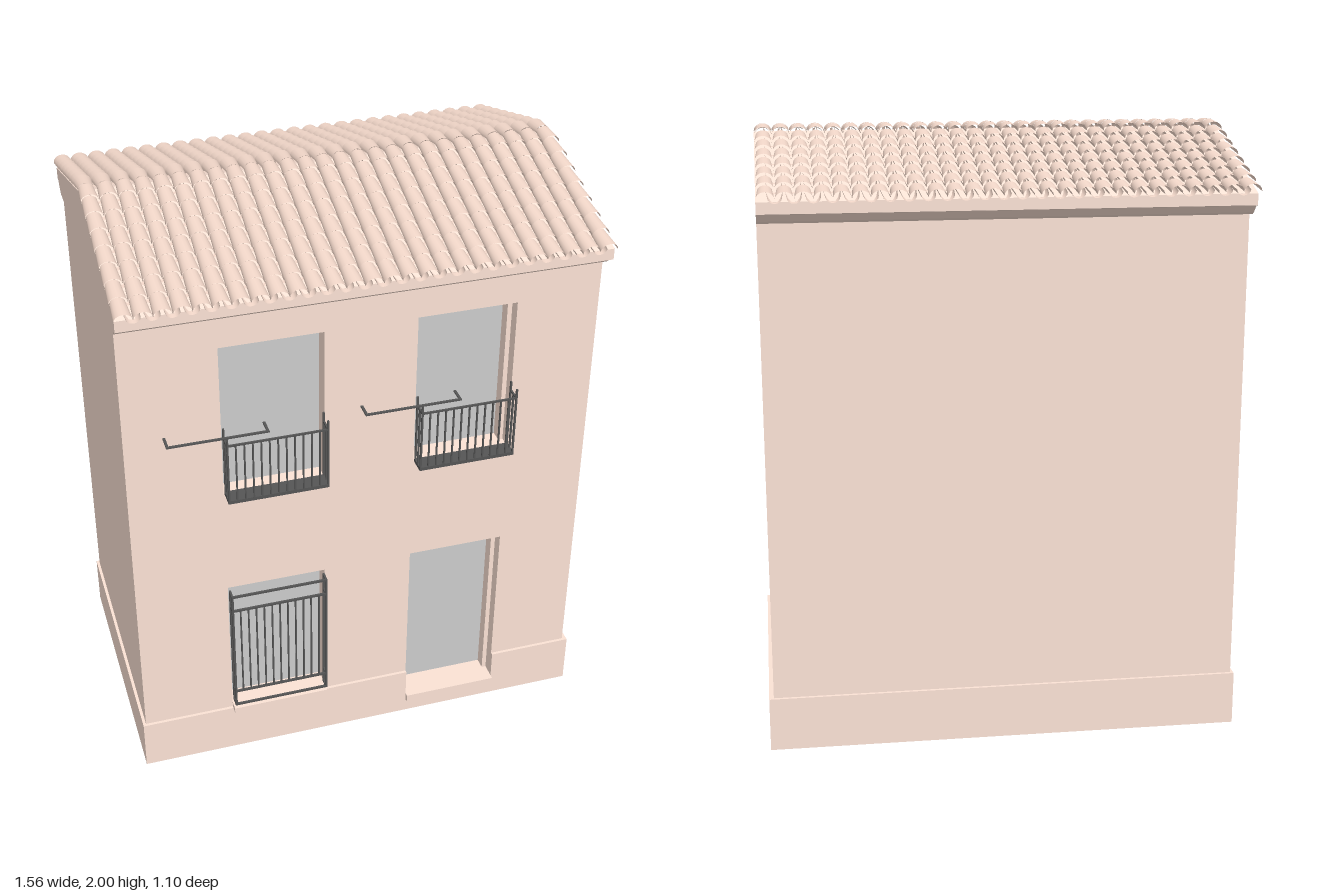
import * as THREE from 'three';
import { mergeGeometries } from 'three/addons/utils/BufferGeometryUtils.js';

const wallMat = new THREE.MeshStandardMaterial({ color: 0xfbe2d5 });
const tileMat = new THREE.MeshStandardMaterial({ color: 0xf3d8ca, side: THREE.DoubleSide });
const glassMat = new THREE.MeshStandardMaterial({ color: 0xcccccc });
const ironMat = new THREE.MeshStandardMaterial({ color: 0x555555 });

// Wall limits
const X0 = -0.77, X1 = 0.765, ZF = 0.455, ZI = 0.37;

// Openings: x range, y range, glass depth, jamb and lintel frame widths
const openings = [
  { name: 'upperLeftWindow', x: [0.165, 0.49], y: [1.09, 1.63], z: 0.375, jamb: 0.015, lintel: 0 },
  { name: 'upperRightWindow', x: [-0.465, -0.135], y: [1.09, 1.63], z: 0.395, jamb: 0, lintel: 0 },
  { name: 'lowerWindow', x: [-0.465, -0.135], y: [0.2, 0.71], z: 0.395, jamb: 0, lintel: 0.015 },
  { name: 'door', x: [0.165, 0.49], y: [0.08, 0.71], z: 0.375, jamb: 0.015, lintel: 0.015 },
];

// Box geometry given by its limits
function boxGeo(x0, x1, y0, y1, z0, z1) {
  const g = new THREE.BoxGeometry(x1 - x0, y1 - y0, z1 - z0);
  return g.translate((x0 + x1) / 2, (y0 + y1) / 2, (z0 + z1) / 2);
}

function add(parent, name, geo, mat) {
  const m = new THREE.Mesh(geo, mat);
  m.name = name;
  parent.add(m);
  return m;
}

function polygon(points) {
  return new THREE.Shape(points.map(([x, y]) => new THREE.Vector2(x, y)));
}

function rect(x0, x1, y0, y1) {
  return polygon([[x0, y0], [x1, y0], [x1, y1], [x0, y1]]);
}

function extrude(shape, depth) {
  return new THREE.ExtrudeGeometry(shape, { depth, bevelEnabled: false });
}

function buildWalls() {
  const g = new THREE.Group();
  g.name = 'walls';
  add(g, 'wallBlock', boxGeo(X0, X1, 0.01, 1.76, -ZF, ZI), wallMat);

  // Front wall with the four openings cut through
  const front = rect(X0, X1, 0.01, 1.76);
  for (const o of openings) front.holes.push(rect(...o.x, ...o.y));
  add(g, 'frontWall', extrude(front, ZF - ZI).translate(0, 0, ZI), wallMat);

  // Plinth, notched at the door
  add(g, 'plinth', boxGeo(-0.78, 0.78, 0, 0.18, -0.465, ZI), wallMat);
  const notch = polygon([[-0.78, 0], [0.78, 0], [0.78, 0.18], [0.49, 0.18],
    [0.49, 0.06], [0.165, 0.06], [0.165, 0.18], [-0.78, 0.18]]);
  add(g, 'frontPlinth', extrude(notch, 0.465 - ZI).translate(0, 0, ZI), wallMat);

  add(g, 'doorStep', boxGeo(0.165, 0.49, 0.05, 0.08, ZI, 0.48), wallMat);
  add(g, 'windowSill', boxGeo(-0.465, -0.135, 0.18, 0.2, ZI, 0.49), wallMat);
  return g;
}

function buildOpening({ name, x, y, z, jamb, lintel }) {
  const g = new THREE.Group();
  g.name = name;
  add(g, 'pane', boxGeo(x[0], x[1], y[0], y[1], ZI - 0.005, z), glassMat);
  const zf = z + 0.04;
  if (jamb) {
    add(g, 'jamb', boxGeo(x[0], x[0] + jamb, y[0], y[1], z, zf), wallMat);
    add(g, 'jamb', boxGeo(x[1] - jamb, x[1], y[0], y[1], z, zf), wallMat);
  }
  if (lintel) add(g, 'lintel', boxGeo(x[0], x[1], y[1] - lintel, y[1], z, zf), wallMat);
  return g;
}

// U-shaped rail running out from the wall, along the front and back
function uRail(x0, x1, y, zOut, t, h = t) {
  return [
    boxGeo(x0, x1, y - h, y, zOut - t, zOut),
    boxGeo(x0, x0 + t, y - h, y, ZF, zOut - t),
    boxGeo(x1 - t, x1, y - h, y, ZF, zOut - t),
  ];
}

// Evenly spaced upright bars across the front
function bars(x0, x1, y0, y1, z, count, t) {
  const list = [];
  for (let i = 0; i <= count; i++) {
    const x = x0 + (x1 - x0 - t) * i / count;
    list.push(boxGeo(x, x + t, y0, y1, z - t, z));
  }
  return list;
}

function buildBalcony(x0, x1) {
  const z = 0.51, t = 0.006;
  const parts = [
    boxGeo(x0, x1, 1.09, 1.102, ZF, z),
    ...uRail(x0, x1, 1.312, z, t),
    ...bars(x0, x1, 1.1, 1.31, z, 12, 0.005),
    // Loose handrail set off to one side
    ...uRail(x0 - 0.185, x1 - 0.19, 1.342, z, 0.008, 0.005),
  ];
  for (const x of [x0, x1 - t]) {
    parts.push(boxGeo(x, x + t, 1.09, 1.342, z - t, z));
    parts.push(boxGeo(x, x + t, 1.09, 1.342, ZF, ZF + t));
    parts.push(boxGeo(x, x + t, 1.09, 1.312, 0.48, 0.485));
  }
  return mergeGeometries(parts);
}

function buildGrille(x0, x1) {
  const z = 0.492, t = 0.007;
  const parts = [...bars(x0, x1, 0.28, 0.638, z, 12, 0.005)];
  for (const y of [0.222, 0.282, 0.638, 0.697]) parts.push(...uRail(x0, x1, y, z, t));
  for (const x of [x0, x1 - t]) {
    parts.push(boxGeo(x, x + t, 0.215, 0.697, z - t, z));
    parts.push(boxGeo(x, x + t, 0.215, 0.697, ZF, ZF + t));
  }
  return mergeGeometries(parts);
}

function buildRoof() {
  const g = new THREE.Group();
  g.name = 'roof';

  // Gable block with the cornice moulding on both eaves
  const half = [[0.455, 1.74], [0.472, 1.74], [0.485, 1.748], [0.51, 1.772], [0.525, 1.775], [0.525, 1.812]];
  const profile = polygon([...half, [0, 1.972], ...half.map(([z, y]) => [-z, y]).reverse()]);
  const gable = extrude(profile, 1.54).rotateY(-Math.PI / 2).translate(X1, 0, 0);
  add(g, 'gableAndCornice', gable, wallMat);

  // Tapered half-round tiles in overlapping rows, with channel tiles between
  const cols = 27, rows = 8, left = -0.78, pitch = 1.545 / cols;
  const slope = 0.305, reach = 0.547, lift = 0.012;
  const covers = [], channels = [];
  for (const turn of [0, Math.PI]) {
    for (let r = 0; r < rows; r++) {
      const zLow = reach * (r + 1) / rows;
      const zHigh = Math.max(0, zLow - 0.085);
      const run = zLow - zHigh, drop = run * slope - lift;
      const length = Math.hypot(run, drop), tilt = Math.atan2(drop, run);
      const zMid = (zLow + zHigh) / 2;
      const yMid = 1.976 - slope * zMid + lift / 2;
      const half = (rTop, rLow) => new THREE.CylinderGeometry(
        rTop, rLow, length, 8, 1, true, -Math.PI / 2, Math.PI).rotateX(-Math.PI / 2).scale(1, 0.85, 1);
      const cover = half(0.0235, 0.0288).rotateX(tilt).translate(0, yMid, zMid).rotateY(turn);
      const channel = half(0.027, 0.022).rotateZ(Math.PI).rotateX(tilt)
        .translate(0, yMid + 0.006, zMid).rotateY(turn);
      for (let c = 0; c < cols; c++) {
        const x = left + pitch * (c + 0.5);
        covers.push(cover.clone().translate(x, 0, 0));
        if (c < cols - 1) channels.push(channel.clone().translate(x + pitch / 2, 0, 0));
      }
    }
  }
  add(g, 'coverTiles', mergeGeometries(covers), tileMat);
  add(g, 'channelTiles', mergeGeometries(channels), tileMat);
  return g;
}

export function createModel() {
  const house = new THREE.Group();
  house.name = 'townHouse';
  house.add(buildWalls(), buildRoof());
  for (const o of openings) house.add(buildOpening(o));
  add(house, 'leftBalcony', buildBalcony(0.168, 0.49), ironMat);
  add(house, 'rightBalcony', buildBalcony(-0.462, -0.135), ironMat);
  add(house, 'windowGrille', buildGrille(-0.462, -0.135), ironMat);
  return house;
}
